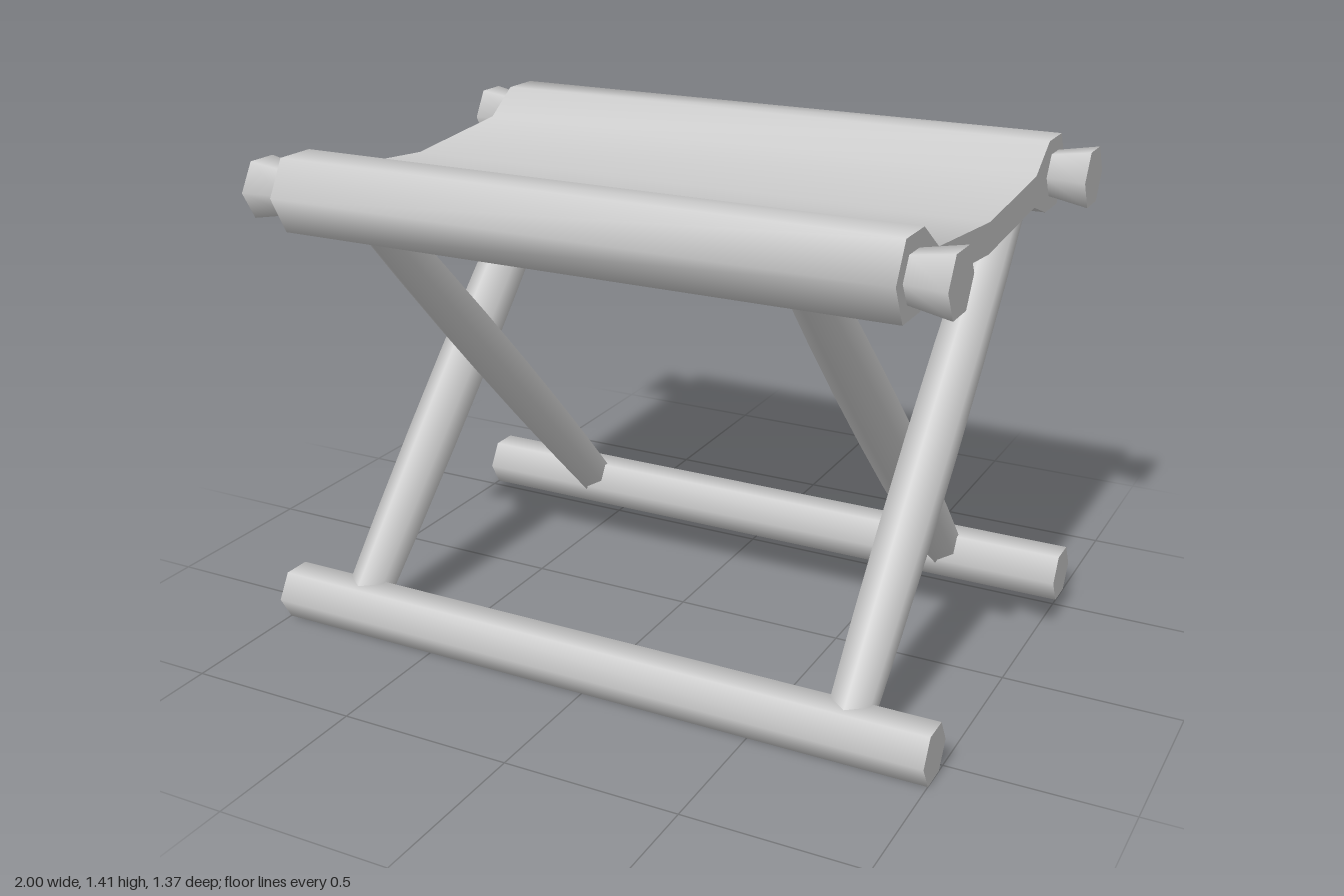
import * as THREE from 'three';
import { toCreasedNormals } from 'three/addons/utils/BufferGeometryUtils.js';

const material = new THREE.MeshStandardMaterial({ color: 0xcccccc });

export function createModel() {
  const stool = new THREE.Group();
  stool.name = 'foldingStool';

  const add = (name, geometry, x = 0, y = 0, z = 0) => {
    const mesh = new THREE.Mesh(geometry, material);
    mesh.name = name;
    mesh.position.set(x, y, z);
    stool.add(mesh);
    return mesh;
  };

  // Sagging fabric seat wrapped round both top rails: half profile, then mirrored
  const upper = [[0.685, 1.305], [0.63, 1.405], [0.51, 1.405], [0.4, 1.33]];
  const lower = [[0.4, 1.24], [0.515, 1.2], [0.63, 1.2]];
  const mirror = (points) => points.map(([z, y]) => [-z, y]).reverse();
  const profile = [...upper, [0, 1.295], ...mirror(upper), ...mirror(lower), [0, 1.208], ...lower];
  const width = 1.77;
  const seat = new THREE.ExtrudeGeometry(
    new THREE.Shape(profile.map(([z, y]) => new THREE.Vector2(z, y))),
    { depth: width, bevelEnabled: false }
  );
  seat.translate(0, 0, -width / 2).rotateY(Math.PI / 2);
  add('seat', toCreasedNormals(seat, 1.2));

  // Slightly swollen six-sided leg, tapering towards both ends
  const legLength = Math.hypot(1.14, 1.18);
  const leg = new THREE.CylinderGeometry(1, 1, legLength, 6, 6);
  const pos = leg.attributes.position;
  for (let i = 0; i < pos.count; i++) {
    const t = pos.getY(i) / (legLength / 2);
    const r = 0.076 - 0.014 * t * t;
    pos.setX(i, pos.getX(i) * r);
    pos.setZ(i, pos.getZ(i) * r);
  }
  const tilt = Math.atan2(1.14, 1.18);

  for (const side of [1, -1]) {
    const sideName = side > 0 ? 'left' : 'right';
    // Crossing legs: the outer one rises to the back, the inner one to the front
    add(sideName + 'OuterLeg', leg, side * 0.76, 0.66, 0).rotation.x = -tilt;
    add(sideName + 'InnerLeg', leg, side * 0.624, 0.66, 0).rotation.x = tilt;
  }

  for (const end of [1, -1]) {
    const endName = end > 0 ? 'front' : 'back';
    // Floor bar
    const bar = new THREE.CylinderGeometry(0.082, 0.082, 2, 6).rotateZ(Math.PI / 2);
    add(endName + 'FootBar', bar, 0, 0.071, end * 0.57);
    // Flared rail ends
    for (const side of [1, -1]) {
      const knob = new THREE.CylinderGeometry(0.091, 0.068, 0.12, 6).rotateZ(-side * Math.PI / 2);
      add(endName + (side > 0 ? 'Left' : 'Right') + 'RailEnd', knob, side * 0.94, 1.302, end * 0.572);
    }
  }
  return stool;
}
